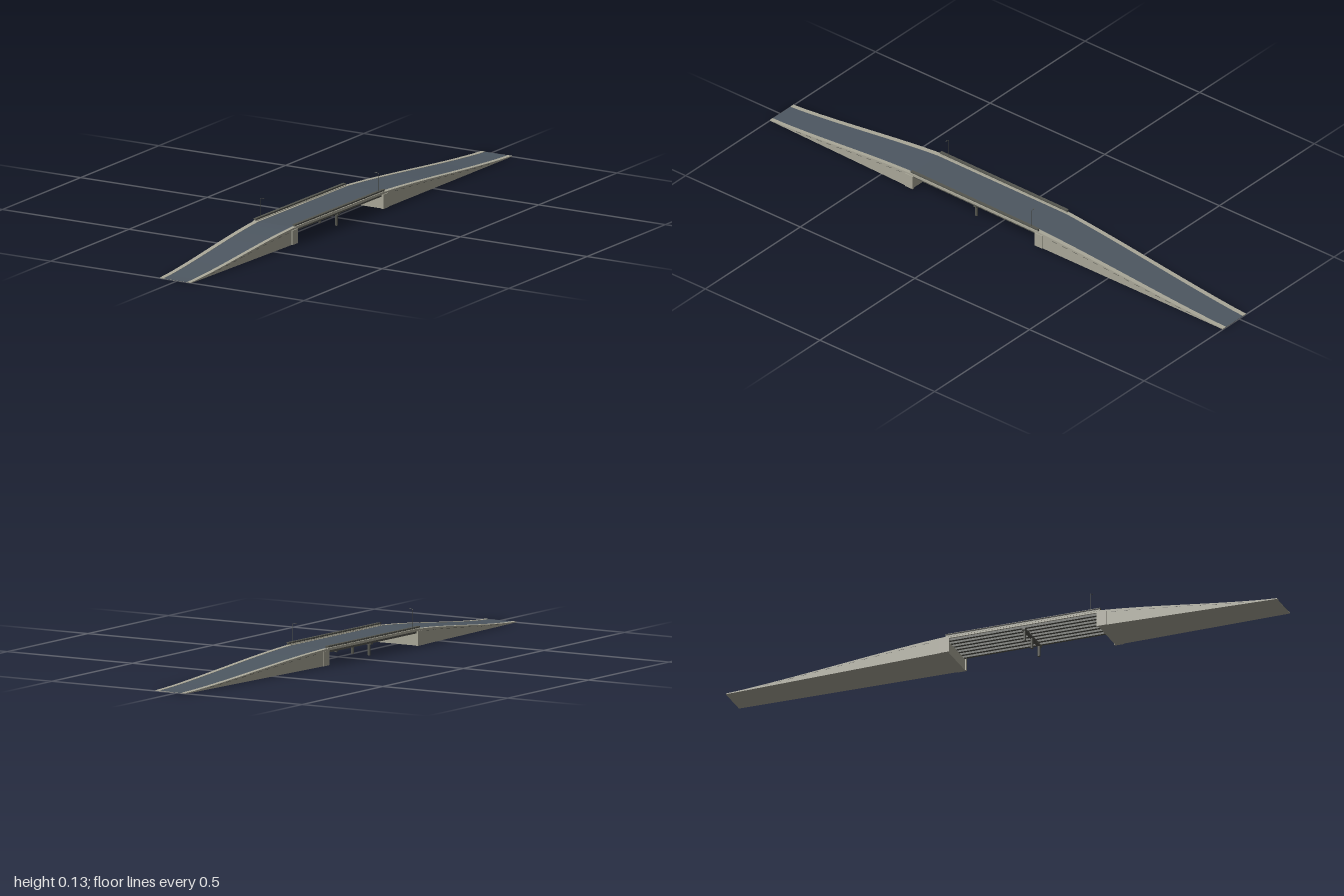
import * as THREE from 'three';

const mat = (color) => new THREE.MeshStandardMaterial({ color, side: THREE.DoubleSide, flatShading: true });
const CONCRETE = mat(0xa9a798), ASPHALT = mat(0x4d5761), STEEL = mat(0x55564f);

const lerp = THREE.MathUtils.lerp;
// plan edges by z: outer and road edge on each side
const PLAN = [
  { z: 1, e: [-0.068, -0.052, 0.041, 0.056] },
  { z: 0.37, e: [-0.087, -0.069, 0.062, 0.076] },
  { z: -0.19, e: [-0.08, -0.065, 0.067, 0.083] },
  { z: -1, e: [-0.037, -0.02, 0.069, 0.085] },
];
const TOP = 0.055;

function edges(z) {
  const i = z > 0.37 ? 0 : z > -0.19 ? 1 : 2;
  const a = PLAN[i], b = PLAN[i + 1], t = (a.z - z) / (a.z - b.z);
  return a.e.map((v, k) => lerp(v, b.e[k], t));
}

// road height: level deck, softly eased ramps
function height(z) {
  const t = z > 0.37 ? (z - 0.37) / 0.63 : z < -0.19 ? (-0.19 - z) / 0.81 : 0;
  const u = Math.min(1, t / 0.98);
  return lerp(TOP, 0.001, 0.6 * u + 0.4 * u * u * (3 - 2 * u));
}

// closed loft through sections running from +z to -z
function loft(z0, z1, n, section) {
  const pos = [], idx = [];
  const m = section(z0).length;
  for (let i = 0; i <= n; i++) {
    const z = lerp(z0, z1, i / n);
    for (const [x, y] of section(z)) pos.push(x, y, z);
  }
  for (let i = 0; i < n; i++) for (let j = 0; j < m; j++) {
    const a = i * m + j, b = i * m + (j + 1) % m;
    idx.push(a, a + m, b, b, a + m, b + m);
  }
  const outline = section(z0).map(([x, y]) => new THREE.Vector2(x, y));
  for (const [a, b, c] of THREE.ShapeUtils.triangulateShape(outline, [])) {
    idx.push(a, b, c, n * m + a, n * m + c, n * m + b);
  }
  const g = new THREE.BufferGeometry();
  g.setAttribute('position', new THREE.Float32BufferAttribute(pos, 3));
  g.setIndex(idx);
  const flat = g.toNonIndexed();
  flat.computeVertexNormals();
  return flat;
}

export function createModel() {
  const root = new THREE.Group();
  root.name = 'roadOverpass';

  const add = (name, geo, material, parent = root) => {
    const mesh = new THREE.Mesh(geo, material);
    mesh.name = name;
    parent.add(mesh);
    return mesh;
  };
  const box = (name, x0, x1, y0, y1, z0, z1, material, parent) => {
    const mesh = add(name, new THREE.BoxGeometry(x1 - x0, y1 - y0, z1 - z0), material, parent);
    mesh.position.set((x0 + x1) / 2, (y0 + y1) / 2, (z0 + z1) / 2);
    return mesh;
  };
  // strip of constant cross-section following an offset from one plan edge
  const strip = (name, z0, z1, n, k, d0, d1, y0, y1, material, parent) =>
    add(name, loft(z0, z1, n, (z) => {
      const x = edges(z)[k], h = height(z);
      return [[x + d0, h + y0], [x + d1, h + y0], [x + d1, h + y1], [x + d0, h + y1]];
    }), material, parent);

  // concrete bodies with raised shoulders
  const body = (base) => (z) => {
    const [lo, lr, rr, ro] = edges(z), y = height(z), s = y + 0.002;
    return [[lo, base], [ro, base], [ro, s], [rr, s], [rr, y], [lr, y], [lr, s], [lo, s]];
  };
  add('frontRamp', loft(1, 0.37, 16, body(0)), CONCRETE);
  add('bridgeDeck', loft(0.37, -0.19, 1, body(0.05)), CONCRETE);
  add('backRamp', loft(-0.19, -1, 16, body(0)), CONCRETE);

  // carriageway
  for (const [z0, z1, n] of [[1, 0.37, 16], [0.37, -0.19, 1], [-0.19, -1, 16]]) {
    add('roadSurface', loft(z0, z1, n, (z) => {
      const e = edges(z), y = height(z);
      return [[e[1], y - 0.0005], [e[2], y - 0.0005], [e[2], y + 0.001], [e[1], y + 0.001]];
    }), ASPHALT);
  }

  // dark joints along the tops of the ramp walls
  const joints = new THREE.Group();
  joints.name = 'wallJoints';
  root.add(joints);
  for (const [z0, z1] of [[0.41, 0.88], [-0.86, -0.23]]) {
    for (let z = z0; z < z1; z += 0.045) for (const k of [0, 3]) {
      const drop = -0.12 * height(z);
      strip('wallJoint', z + 0.022, z, 1, k, -0.0006, 0.0006, drop - 0.001, drop + 0.0003, STEEL, joints);
    }
  }

  // abutments: end wall, wing walls and bearing ledge
  for (const [z, s, name] of [[0.37, -1, 'frontAbutment'], [-0.19, 1, 'backAbutment']]) {
    const g = new THREE.Group();
    g.name = name;
    root.add(g);
    const e = edges(z), lo = e[0] - 0.001, ro = e[3] + 0.003;
    const span = (a, b) => [Math.min(z + s * a, z + s * b), Math.max(z + s * a, z + s * b)];
    box('endWall', lo, ro, 0, 0.041, ...span(-0.012, 0.008), CONCRETE, g);
    for (const x of [lo, ro - 0.008]) box('wingWall', x, x + 0.008, 0, 0.05, ...span(-0.022, 0.012), CONCRETE, g);
  }

  // longitudinal girders, skewed with the deck
  for (let i = 0; i < 7; i++) {
    const t = 0.06 + 0.88 * i / 6;
    add('girder', loft(0.375, -0.195, 1, (z) => {
      const e = edges(z), x = lerp(e[0], e[3], t);
      return [[x - 0.005, 0.042], [x + 0.005, 0.042], [x + 0.005, 0.0505], [x - 0.005, 0.0505]];
    }), STEEL);
  }

  // central pier
  const pier = new THREE.Group();
  pier.name = 'centrePier';
  root.add(pier);
  box('capBeam', -0.078, 0.076, 0.037, 0.043, 0.084, 0.096, STEEL, pier);
  for (const x of [-0.066, 0, 0.066]) {
    const c = add('pierColumn', new THREE.CylinderGeometry(0.005, 0.005, 0.04, 12), STEEL, pier);
    c.position.set(x, 0.02, 0.09);
  }

  // parapets with two rails and posts on both sides
  for (const [k, d] of [[0, 1], [3, -1]]) {
    const p = new THREE.Group();
    p.name = k ? 'leftParapet' : 'rightParapet';
    root.add(p);
    const off = (a, b) => [Math.min(d * a, d * b), Math.max(d * a, d * b)];
    strip('parapetKerb', 0.37, -0.19, 1, k, ...off(-0.001, 0.010), 0, 0.004, CONCRETE, p);
    strip('lowerRail', 0.37, -0.19, 1, k, ...off(0.001, 0.008), 0.005, 0.0075, STEEL, p);
    strip('upperRail', 0.37, -0.19, 1, k, ...off(-0.001, 0.010), 0.0085, 0.011, STEEL, p);
    for (let i = 0; i <= 14; i++) {
      const z = 0.368 - i * 0.0397;
      strip('railPost', z, z - 0.003, 1, k, ...off(0.002, 0.007), 0.003, 0.010, STEEL, p);
    }
  }

  // street lights, diagonally opposite
  for (const [x, z, d] of [[-0.082, 0.335, 1], [0.078, -0.16, -1]]) {
    const lamp = new THREE.Group();
    lamp.name = 'streetLight';
    lamp.position.set(x, 0, z);
    root.add(lamp);
    const pole = add('pole', new THREE.CylinderGeometry(0.0008, 0.0011, 0.07, 8), STEEL, lamp);
    pole.position.y = 0.092;
    const arm = new THREE.LineCurve3(new THREE.Vector3(0, 0.1265, 0), new THREE.Vector3(d * 0.009, 0.1285, 0));
    add('arm', new THREE.TubeGeometry(arm, 1, 0.0006, 6), STEEL, lamp);
    const head = add('lampHead', new THREE.BoxGeometry(0.007, 0.0012, 0.003), STEEL, lamp);
    head.position.set(d * 0.0115, 0.1285, 0);
  }
  return root;
}
